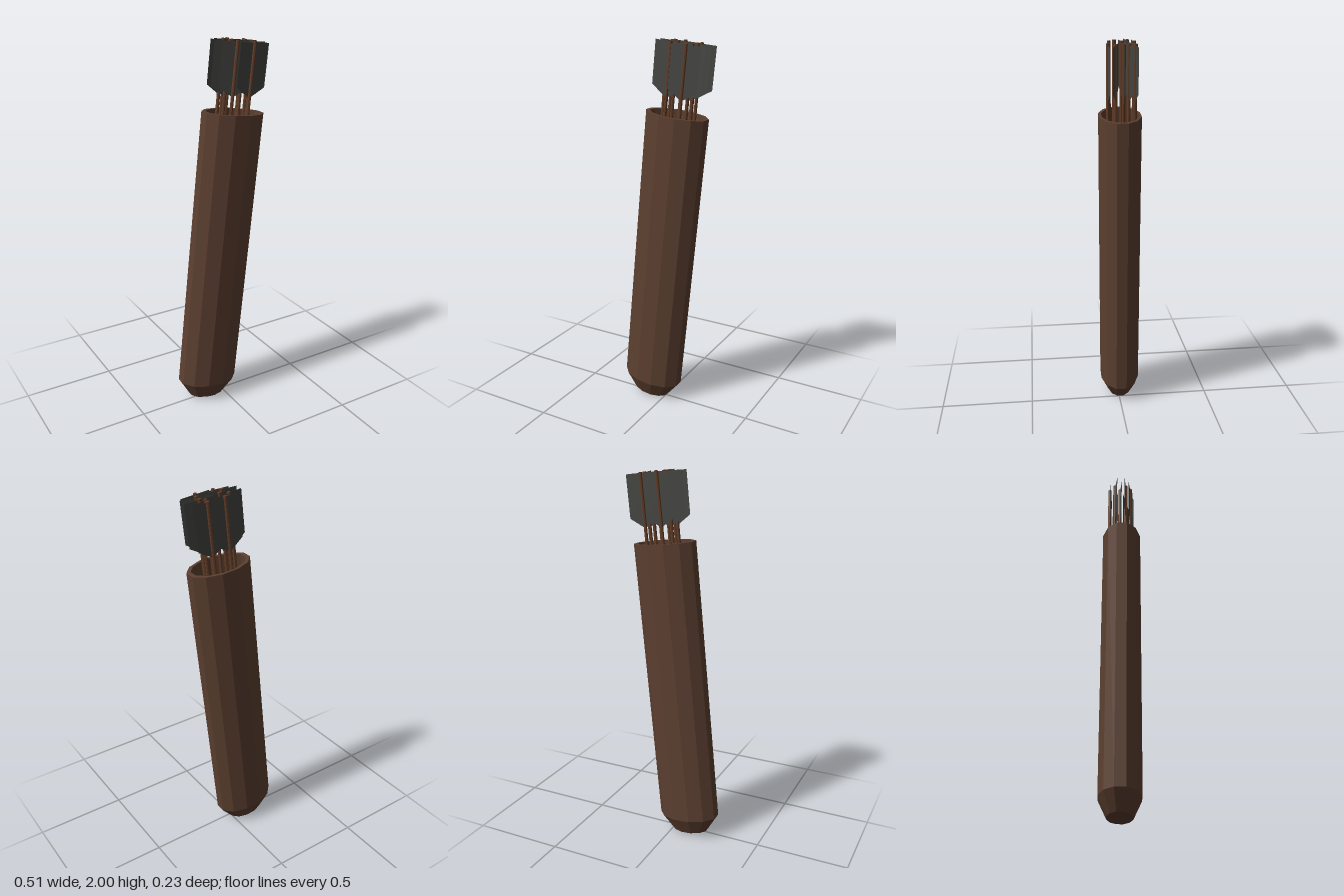
import * as THREE from 'three';

const leather = new THREE.MeshStandardMaterial({ color: 0x5c3f30, flatShading: true });
leather.name = 'brown leather';
const wood = new THREE.MeshStandardMaterial({ color: 0x613d28, flatShading: true });
wood.name = 'shaft wood';
const feather = new THREE.MeshStandardMaterial({ color: 0x444541, flatShading: true, side: THREE.DoubleSide });
feather.name = 'grey feather';

// Twelve-sided oval tube with a tapered foot, an open rim and a hollow inside
function makeQuiver() {
  const profile = [
    [0, -0.095], [0.6, -0.095], [1, 0], [1, 1.538],
    [0.87, 1.538], [0.87, 0.02], [0.55, -0.06], [0, -0.06],
  ].map(([r, y]) => new THREE.Vector2(r, y));
  const geometry = new THREE.LatheGeometry(profile, 12, Math.PI / 12);
  geometry.scale(0.173, 1, 0.11);
  const mesh = new THREE.Mesh(geometry, leather);
  mesh.name = 'quiver';
  return mesh;
}

// Arrow standing nock up: a long shaft crossed by one flat pair of vanes
const TOP = 1.896;
const shaftGeometry = new THREE.CylinderGeometry(0.009, 0.009, TOP, 8).translate(0, TOP / 2, 0);
const vaneTop = TOP - 0.006;
const vaneGeometry = new THREE.ShapeGeometry(new THREE.Shape([
  [-0.08, vaneTop], [-0.08, vaneTop - 0.22], [-0.009, vaneTop - 0.265],
  [0.009, vaneTop - 0.265], [0.08, vaneTop - 0.22], [0.08, vaneTop],
].map(([x, y]) => new THREE.Vector2(x, y))));

function makeArrow(x, z, slope) {
  const arrow = new THREE.Group();
  arrow.name = 'arrow';
  const shaft = new THREE.Mesh(shaftGeometry, wood);
  shaft.name = 'arrowShaft';
  const vanes = new THREE.Mesh(vaneGeometry, feather);
  vanes.name = 'fletching';
  arrow.add(shaft, vanes);
  arrow.position.set(x, 0, z);
  arrow.rotation.y = -Math.atan(slope);
  return arrow;
}

export function createModel() {
  const model = new THREE.Group();
  model.name = 'arrowQuiver';

  // Everything leans together along the quiver's axis
  const leaning = new THREE.Group();
  leaning.name = 'leaningQuiver';
  leaning.position.set(-0.09, 0.105, -0.009);
  leaning.rotation.set(0.009, -0.025, -0.102, 'XZY');
  leaning.add(makeQuiver());

  // Arrow positions across the mouth, and the slope of each pair of vanes
  const arrows = [
    [-0.03, -0.072, -0.08], [0.064, -0.07, -0.07],
    [-0.07, -0.041, -0.16], [0.055, -0.039, -0.2],
    [-0.038, -0.011, -0.12], [0.072, -0.012, 0.06],
    [-0.072, 0.023, 0.1], [0.065, 0.026, 0.25],
    [-0.042, 0.051, 0.16], [0.049, 0.063, -0.04],
  ];
  for (const [x, z, slope] of arrows) leaning.add(makeArrow(x, z, slope));

  model.add(leaning);
  return model;
}
